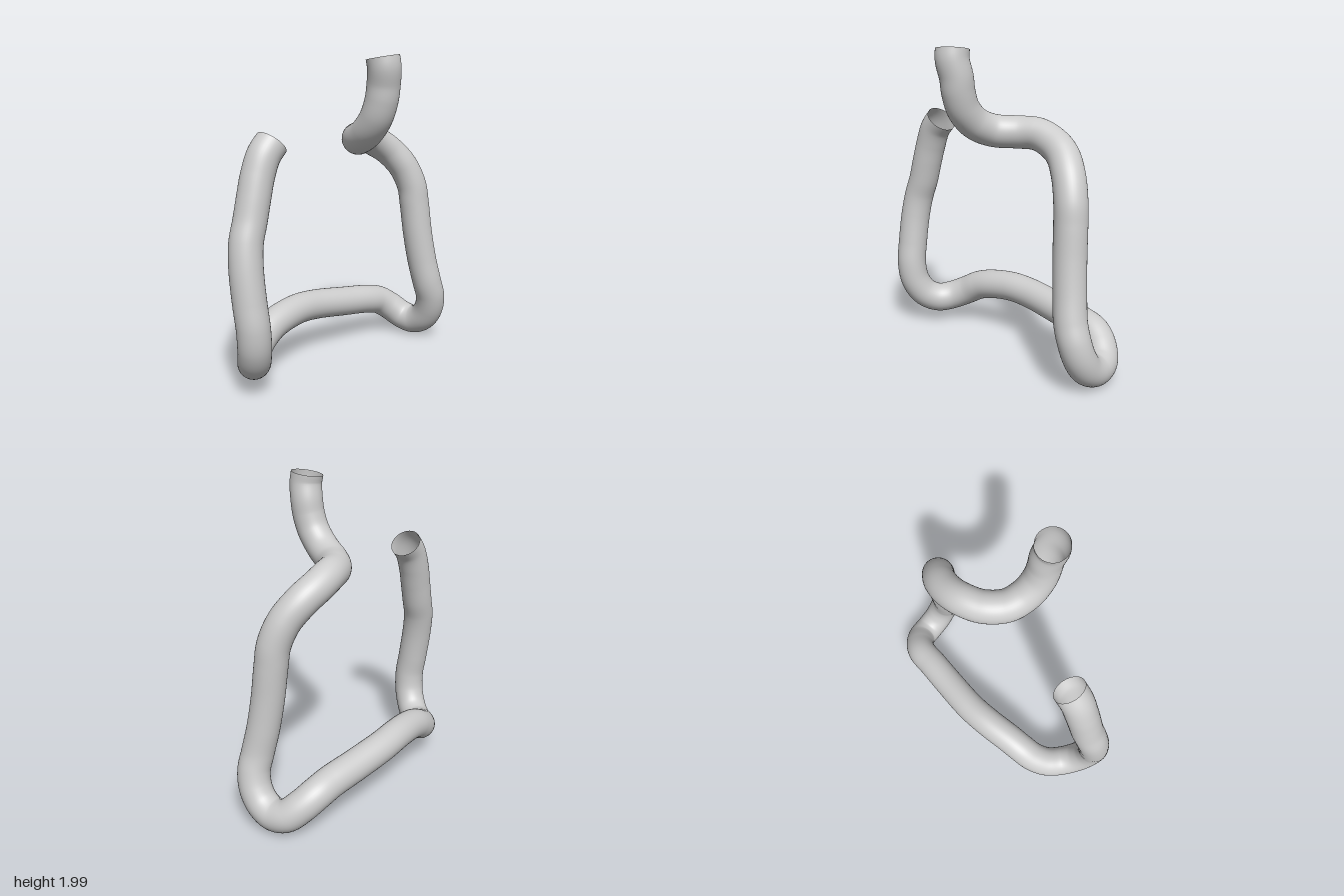
import * as THREE from 'three';

// Centre line of the hose, from the upper open end round to the lower one
const PATH = [
  [-0.02, 1.98, 0.32], [-0.015, 1.92, 0.328], [0, 1.82, 0.31], [0, 1.73, 0.295], [0, 1.63, 0.255],
  [0.015, 1.54, 0.17], [0.06, 1.49, 0.06], [0.16, 1.48, -0.04], [0.28, 1.475, -0.09],
  [0.39, 1.435, -0.095], [0.49, 1.375, -0.07], [0.58, 1.265, -0.015], [0.63, 1.13, 0.025],
  [0.645, 1.0, 0.04], [0.66, 0.8, 0.06], [0.685, 0.6, 0.085], [0.715, 0.44, 0.11],
  // hook at the lower right
  [0.75, 0.33, 0.115], [0.77, 0.23, 0.088], [0.777, 0.15, 0.03], [0.777, 0.108, -0.06],
  [0.76, 0.125, -0.15], [0.7, 0.19, -0.22], [0.62, 0.245, -0.26],
  // rear crossing
  [0.5, 0.275, -0.275], [0.3, 0.3, -0.3], [0.05, 0.33, -0.325], [-0.12, 0.34, -0.32],
  [-0.3, 0.32, -0.298], [-0.4, 0.29, -0.285], [-0.5, 0.235, -0.262],
  // left bend and rise
  [-0.59, 0.19, -0.21], [-0.66, 0.175, -0.13], [-0.72, 0.22, -0.05], [-0.76, 0.32, 0.005],
  [-0.778, 0.45, 0.02], [-0.784, 0.6, 0.0], [-0.78, 0.8, -0.03], [-0.76, 0.94, -0.05],
  [-0.72, 1.06, -0.06], [-0.685, 1.19, -0.065], [-0.65, 1.31, -0.07], [-0.602, 1.425, -0.07],
  [-0.54, 1.495, -0.07],
];

export function createModel() {
  const group = new THREE.Group();
  group.name = 'bentHose';

  const curve = new THREE.CatmullRomCurve3(PATH.map((p) => new THREE.Vector3(...p)), false, 'centripetal');
  curve.arcLengthDivisions = 1000;

  // Open-ended hose, visible from inside and outside
  const hose = new THREE.Mesh(
    new THREE.TubeGeometry(curve, 320, 0.1, 40, false),
    new THREE.MeshStandardMaterial({ color: 0xcccccc, side: THREE.DoubleSide }),
  );
  hose.name = 'hose';
  group.add(hose);
  return group;
}
